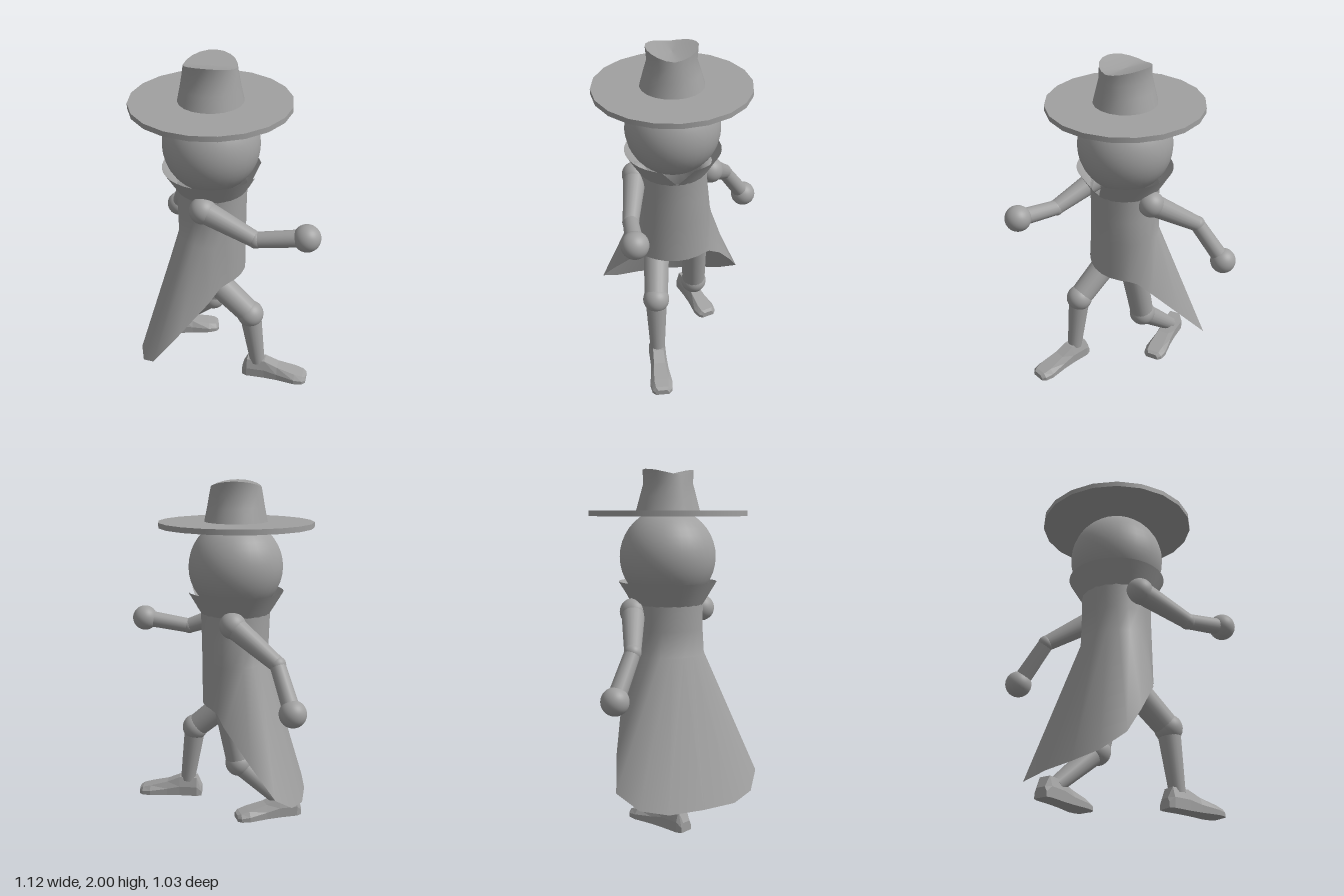
import * as THREE from 'three';

const CX = -0.11, CZ = 0.06; // vertical axis of the body

// Skin between rings of [x, y, z] points; optional closed rings, end caps and flat shading
function loft(rings, { closed = true, caps = false, flat = false } = {}) {
  const n = rings[0].length, idx = [];
  const steps = closed ? n : n - 1;
  for (let i = 0; i < rings.length - 1; i++) {
    for (let j = 0; j < steps; j++) {
      const k = (j + 1) % n, a = i * n + j, b = i * n + k, c = a + n, d = b + n;
      idx.push(a, c, b, b, c, d);
    }
  }
  if (caps) {
    const e = (rings.length - 1) * n;
    for (let j = 1; j < n - 1; j++) idx.push(0, j, j + 1, e, e + j + 1, e + j);
  }
  let g = new THREE.BufferGeometry();
  g.setAttribute('position', new THREE.Float32BufferAttribute(rings.flat(2), 3));
  g.setIndex(idx);
  if (flat) g = g.toNonIndexed();
  g.computeVertexNormals();
  return g;
}

// Elliptical ring around the body axis; y may be a function of the local z
function ring(y, rx, rz = rx, n = 20) {
  return Array.from({ length: n }, (_, j) => {
    const a = (j / n) * Math.PI * 2, z = rz * Math.sin(a);
    return [CX + rx * Math.cos(a), typeof y === 'function' ? y(z) : y, CZ + z];
  });
}

export function createModel() {
  const model = new THREE.Group();
  model.name = 'cloakedWalker';
  const grey = new THREE.MeshStandardMaterial({ color: 0xa0a0a0, side: THREE.DoubleSide });
  grey.name = 'grey';

  const add = (name, geo, parent = model) => {
    const m = new THREE.Mesh(geo, grey);
    m.name = name;
    parent.add(m);
    return m;
  };
  const ball = (name, p, r, parent) =>
    add(name, new THREE.SphereGeometry(r, 32, 20), parent).position.set(...p);
  const rod = (name, p, q, rp, rq, parent) => {
    const a = new THREE.Vector3(...p), b = new THREE.Vector3(...q), d = b.clone().sub(a);
    const m = add(name, new THREE.CylinderGeometry(rq, rp, d.length(), 20), parent);
    m.position.copy(a).add(b).multiplyScalar(0.5);
    m.quaternion.setFromUnitVectors(new THREE.Vector3(0, 1, 0), d.normalize());
  };

  // Head and hat
  ball('head', [CX, 1.51, CZ], 0.275);
  add('hatBrim', new THREE.CylinderGeometry(0.45, 0.45, 0.03, 20)).position.set(CX, 1.755, CZ);
  const dent = z => 1.965 + 0.035 * Math.pow(Math.abs(z) / 0.145, 1.4);
  add('hatCrown', loft([
    ring(1.765, 0.184), ring(1.85, 0.166, 0.16), ring(1.92, 0.154, 0.138), ring(dent, 0.145),
  ]));
  add('hatTop', loft([1, 0.75, 0.5, 0.25, 0.001].map(s => ring(dent, 0.145 * s))));

  // Coat sweeping into a long tail; half of the hem, front to back, as [x, y, distance from axis]
  const half = [
    [0.085, 0.69, 0], [0.075, 0.69, 0.07], [0.05, 0.69, 0.13], [0.02, 0.69, 0.175],
    [-0.02, 0.67, 0.21], [-0.07, 0.61, 0.285], [-0.23, 0.42, 0.385], [-0.375, 0.25, 0.455],
    [-0.47, 0.165, 0.36], [-0.53, 0.135, 0.21], [-0.545, 0.135, 0],
  ];
  const hem = Array.from({ length: 20 }, (_, j) => {
    const [x, y, d] = half[j <= 10 ? j : 20 - j];
    return [x, y, CZ + (j <= 10 ? d : -d)];
  });
  add('coat', loft([hem, ring(0.95, 0.197, 0.222), ring(1.1, 0.2, 0.207), ring(1.25, 0.205)]));

  // Flared collar with a notch at the front
  const collarRow = (y, r, gap) => Array.from({ length: 33 }, (_, j) => {
    const a = gap + (j / 32) * (Math.PI * 2 - 2 * gap);
    return [CX + r * Math.cos(a), y, CZ + r * Math.sin(a)];
  });
  add('collar', loft([
    collarRow(1.24, 0.203, 0), collarRow(1.28, 0.228, 0.12), collarRow(1.37, 0.282, 0.33),
  ], { closed: false }));

  // Arms: shoulder, elbow, hand
  for (const [side, s, e, h] of [
    ['left', [-0.11, 1.205, 0.285], [0.2, 1.088, 0.335], [0.48, 1.135, 0.33]],
    ['right', [-0.11, 1.205, -0.16], [-0.37, 1.02, -0.29], [-0.46, 0.785, -0.437]],
  ]) {
    const arm = new THREE.Group();
    arm.name = side + 'Arm';
    model.add(arm);
    ball('shoulder', s, 0.077, arm);
    rod('upperArm', s, e, 0.068, 0.046, arm);
    ball('elbow', e, 0.048, arm);
    rod('forearm', e, h, 0.045, 0.05, arm);
    ball('hand', h, 0.077, arm);
  }

  // Shoe sections from heel to toe: [x from ankle, half width, height]
  const shoe = loft([
    [-0.09, 0.04, 0.055], [-0.06, 0.052, 0.118], [0.05, 0.05, 0.118],
    [0.13, 0.054, 0.085], [0.24, 0.068, 0.058], [0.29, 0.06, 0.045], [0.31, 0.04, 0.035],
  ].map(([x, w, h]) => [
    [x, 0, w], [x, h * 0.5, w], [x, h, w * 0.65], [x, h, -w * 0.65], [x, h * 0.5, -w], [x, 0, -w],
  ]), { caps: true, flat: true });

  // Legs: hip, knee, ankle, shoe position and turn
  for (const [side, hip, knee, ankle, foot, turn] of [
    ['left', [-0.1, 0.68, 0.17], [0.15, 0.46, 0.2], [0.2, 0.1, 0.203], [0.2, 0.005, 0.203], 0],
    ['right', [-0.07, 0.72, -0.06], [-0.145, 0.34, -0.07], [-0.4, 0.11, -0.075], [-0.43, 0.018, -0.065], 0.35],
  ]) {
    const leg = new THREE.Group();
    leg.name = side + 'Leg';
    model.add(leg);
    ball('hip', hip, 0.08, leg);
    rod('thigh', hip, knee, 0.08, 0.072, leg);
    ball('knee', knee, 0.08, leg);
    rod('shin', knee, ankle, 0.066, 0.045, leg);
    const s = add('shoe', shoe, leg);
    s.position.set(...foot);
    s.rotation.y = turn;
  }
  return model;
}
